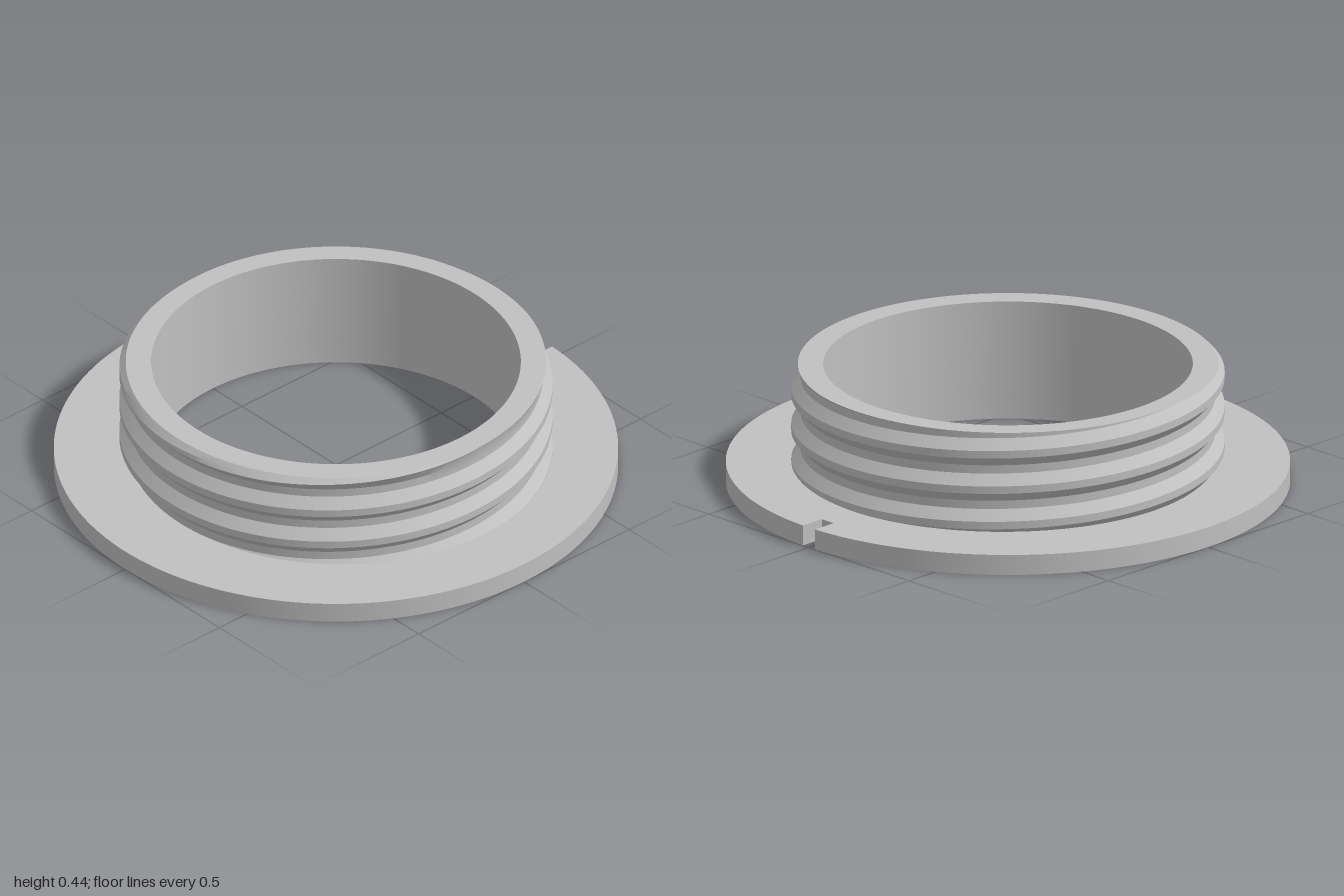
import * as THREE from 'three';
import { toCreasedNormals } from 'three/addons/utils/BufferGeometryUtils.js';

const BORE = 0.655, FLANGE_TOP = 0.075, TOP = 0.44;
const ROOT = 0.735, CREST = 0.768, TOP_RADIUS = 0.745;
const PITCH = 0.133, HALF_CREST = 0.014, FLANK = 0.037;
const SEGMENTS = 144;

// Height of one crest as it climbs around the barrel (right-hand thread)
const crestHeight = (angle) => 0.32 + PITCH * angle / (2 * Math.PI);

// Thread radius at a height, with a chamfer under the top rim
function threadRadius(angle, y) {
  const t = (y - crestHeight(angle)) / PITCH;
  const distance = Math.abs(t - Math.round(t)) * PITCH;
  const drop = THREE.MathUtils.clamp((distance - HALF_CREST) / FLANK, 0, 1);
  return Math.min(CREST - drop * (CREST - ROOT), TOP_RADIUS + (TOP - y));
}

// Threaded outside, flat rim and smooth bore as one swept skin
function barrelGeometry() {
  const edge = HALF_CREST + FLANK;
  const breaks = [-edge, -HALF_CREST, 0, HALF_CREST, edge];
  const offsets = [-10];
  for (let turn = -4; turn <= 2; turn++) {
    for (const b of breaks) offsets.push(turn * PITCH + b);
  }
  offsets.push(10);

  const column = (i) => {
    const angle = i / SEGMENTS * 2 * Math.PI;
    const point = (r, y) => new THREE.Vector3(r * Math.sin(angle), y, r * Math.cos(angle));
    const points = offsets.map((o) => {
      const y = THREE.MathUtils.clamp(crestHeight(angle) + o, FLANGE_TOP, TOP);
      return point(threadRadius(angle, y), y);
    });
    return [...points, point(BORE, TOP), point(BORE, FLANGE_TOP)];
  };

  const positions = [];
  const triangle = (a, b, c) => {
    if (new THREE.Triangle(a, b, c).getArea() < 1e-8) return;
    for (const p of [a, b, c]) positions.push(p.x, p.y, p.z);
  };
  for (let i = 0; i < SEGMENTS; i++) {
    const left = column(i), right = column(i + 1);
    for (let j = 0; j < left.length - 1; j++) {
      triangle(left[j], right[j], right[j + 1]);
      triangle(left[j], right[j + 1], left[j + 1]);
    }
  }
  const geometry = new THREE.BufferGeometry();
  geometry.setAttribute('position', new THREE.Float32BufferAttribute(positions, 3));
  return toCreasedNormals(geometry, 0.4);
}

// Flat ring with a small rectangular notch in its rim
function flangeGeometry() {
  const half = 0.03, depth = 0.905;
  const start = Math.asin(half);
  const shape = new THREE.Shape();
  shape.moveTo(depth, half);
  shape.lineTo(Math.cos(start), half);
  shape.absarc(0, 0, 1, start, 2 * Math.PI - start, false);
  shape.lineTo(depth, -half);
  shape.closePath();
  const hole = new THREE.Path();
  hole.absarc(0, 0, BORE, 0, 2 * Math.PI, true);
  shape.holes.push(hole);
  const geometry = new THREE.ExtrudeGeometry(shape, {
    depth: FLANGE_TOP, bevelEnabled: false, curveSegments: SEGMENTS,
  });
  geometry.rotateX(-Math.PI / 2);
  return toCreasedNormals(geometry, 0.4);
}

export function createModel() {
  const grey = new THREE.MeshStandardMaterial({ color: 0xc0c0c0 });
  grey.name = 'light grey';

  const model = new THREE.Group();
  model.name = 'threadedFlangeRing';
  const addPart = (name, geometry) => {
    const mesh = new THREE.Mesh(geometry, grey);
    mesh.name = name;
    model.add(mesh);
  };
  addPart('notchedFlange', flangeGeometry());
  addPart('threadedBarrel', barrelGeometry());
  return model;
}
